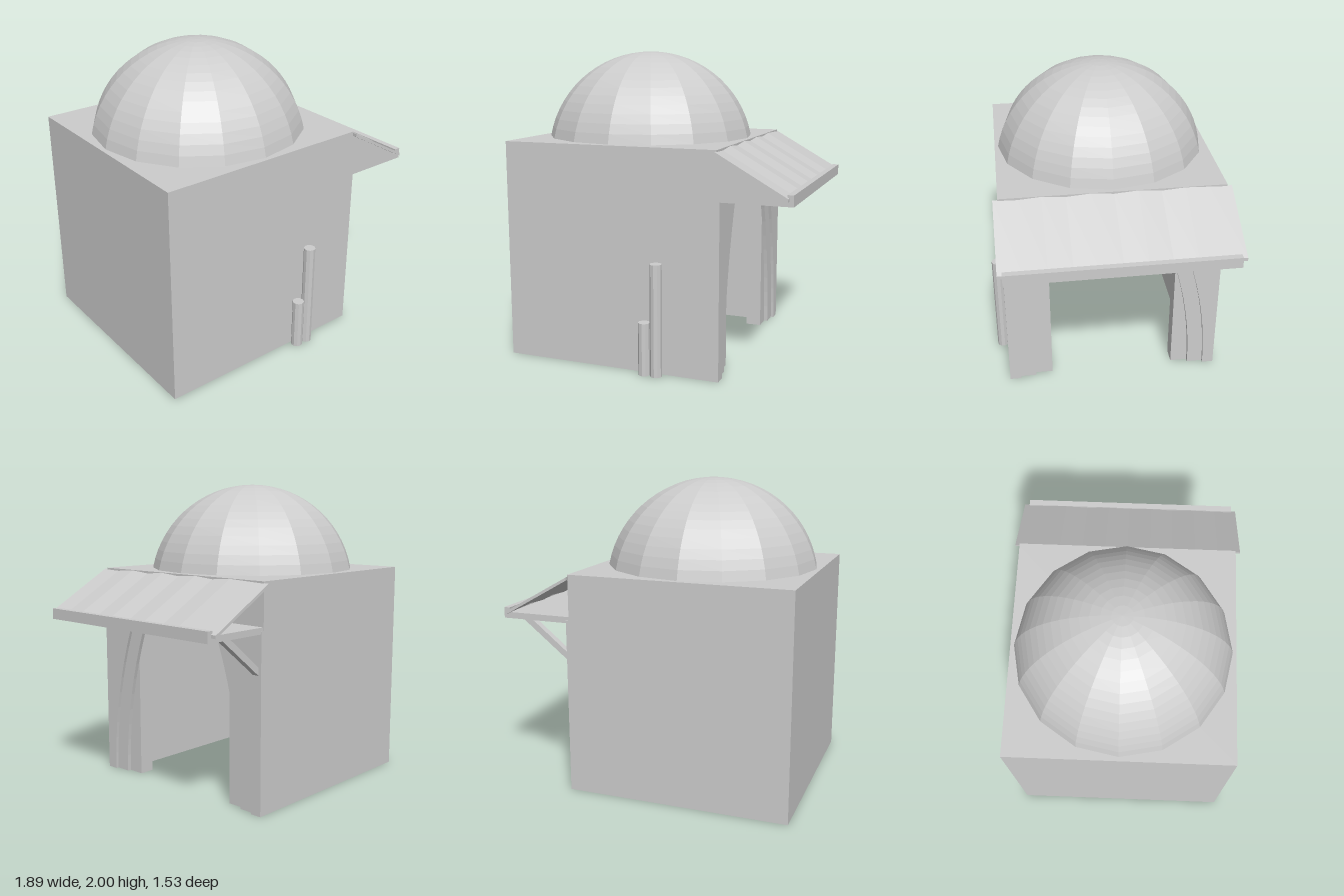
import * as THREE from 'three';

export function createModel() {
  const model = new THREE.Group();
  const plaster = new THREE.MeshStandardMaterial({ color: 0xcccccc });
  plaster.name = 'plaster grey';
  const midZ = -0.025; // centre line of the building

  function add(name, geometry, x = 0, y = 0, z = 0) {
    const mesh = new THREE.Mesh(geometry, plaster);
    mesh.name = name;
    mesh.position.set(x, y, z);
    model.add(mesh);
    return mesh;
  }
  const box = (name, x0, x1, y0, y1, z0, z1) =>
    add(name, new THREE.BoxGeometry(x1 - x0, y1 - y0, z1 - z0),
      (x0 + x1) / 2, (y0 + y1) / 2, (z0 + z1) / 2);

  // Extrudes a (-z, y) outline along x, starting at x0
  function extrudeX(shape, x0, x1) {
    const g = new THREE.ExtrudeGeometry(shape,
      { depth: x1 - x0, bevelEnabled: false, curveSegments: 10 });
    return g.rotateY(Math.PI / 2).translate(x0, 0, 0);
  }
  const outline = (points) => new THREE.Shape(points.map(([x, y]) => new THREE.Vector2(x, y)));

  // Hollow room, open underneath and towards +x
  box('roofSlab', -0.95, 0.455, 1.28, 1.43, -0.74, 0.69);
  box('backWall', -0.95, -0.8, 0, 1.28, -0.59, 0.54);
  box('sideWallFront', -0.95, 0.455, 0, 1.28, 0.54, 0.69);
  box('sideWallRear', -0.95, 0.455, 0, 1.28, -0.74, -0.59);

  // Square doorway behind the arches
  for (const s of [-1, 1]) {
    const a = midZ + s * 0.42, b = midZ + s * 0.565;
    box('doorJamb', 0.35, 0.455, 0, 1.28, Math.min(a, b), Math.max(a, b));
  }
  box('doorLintel', 0.35, 0.455, 1.07, 1.28, midZ - 0.42, midZ + 0.42);

  // Two stepped layers of wall, each with a curved opening
  function archLayer(name, x0, x1, height, base, top) {
    const s = new THREE.Shape();
    s.moveTo(-0.715, 0);
    s.lineTo(-base, 0);
    s.quadraticCurveTo(-base, 0.57, -top, 1.115);
    s.lineTo(top, 1.115);
    s.quadraticCurveTo(base, 0.57, base, 0);
    s.lineTo(0.715, 0);
    s.lineTo(0.715, height);
    s.lineTo(-0.715, height);
    add(name, extrudeX(s, x0, x1), 0, 0, midZ);
  }
  archLayer('innerArch', 0.455, 0.48, 1.43, 0.535, 0.315);
  archLayer('outerArch', 0.48, 0.5, 1.14, 0.64, 0.42);

  // Faceted dome, cut just above its widest ring
  const dome = new THREE.SphereGeometry(0.705, 16, 15, 0, Math.PI * 2, 0, Math.PI * 15 / 32 * 0.9333);
  const domeGeo = dome.toNonIndexed();
  domeGeo.computeVertexNormals();
  add('dome', domeGeo, -0.233, 1.295, midZ);

  // Awning: flat board, raised lip and corrugated sloping sheet
  box('awningBoard', 0.48, 0.905, 1.12, 1.16, -0.735, 0.69);
  box('awningLip', 0.905, 0.945, 1.12, 1.19, -0.735, 0.69);
  const ridges = [0, 0.006, 0.012, 0, 0.012, 0, 0.012, 0, 0.012, 0, 0.004];
  const upper = ridges.map((h, i) => [0.77 - i * 0.149, 1.418 + h]);
  const lower = upper.map(([u, y]) => [u, y - 0.02]).reverse();
  const sheet = extrudeX(outline([...upper, ...lower]), 0.475, 0.918);
  const pos = sheet.attributes.position;
  for (let i = 0; i < pos.count; i++) {
    pos.setY(i, pos.getY(i) - (pos.getX(i) - 0.475) * 0.565);
  }
  sheet.computeVertexNormals();
  add('awningSheet', sheet);

  // Closed end of the awning and its diagonal brace
  const extrudeZ = (points, depth) =>
    new THREE.ExtrudeGeometry(outline(points), { depth, bevelEnabled: false });
  add('awningEnd', extrudeZ([[0.48, 1.16], [0.9, 1.16], [0.48, 1.4]], 0.02), 0, 0, 0.67);
  add('awningBrace', extrudeZ([[0.48, 0.855], [0.82, 1.125], [0.755, 1.125], [0.48, 0.905]], 0.045),
    0, 0, -0.72);

  // Two posts standing against the side wall
  for (const [x, h] of [[0.025, 0.34], [0.105, 0.72]]) {
    const post = new THREE.CylinderGeometry(0.038, 0.038, h, 10).toNonIndexed();
    post.computeVertexNormals();
    add('post', post, x, h / 2, 0.727);
  }
  return model;
}
